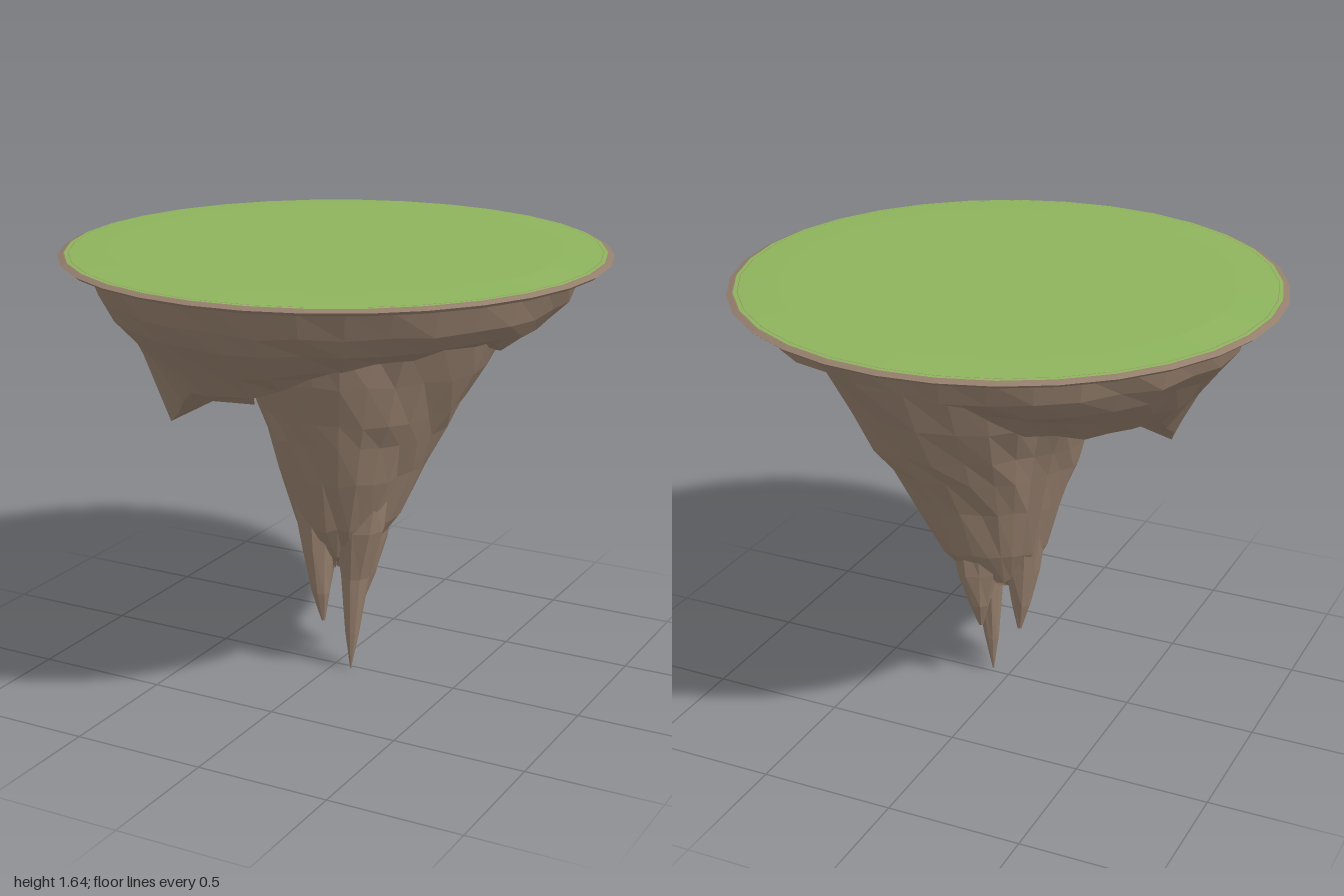
import * as THREE from 'three';

const rock = new THREE.MeshStandardMaterial({ color: 0x947e6c });
rock.name = 'rock brown';
const grass = new THREE.MeshStandardMaterial({ color: 0x8db35c });
grass.name = 'grass green';

// Repeatable random offset in the range -amount to amount
let seed = 11;
function jitter(amount) {
  seed = (seed * 16807) % 2147483647;
  return (seed / 2147483647 * 2 - 1) * amount;
}

// Faceted skin over closed rings of [x, y, z] points, listed from the top down
function loft(name, rings) {
  const n = rings[0].length;
  const index = [];
  for (let i = 0; i < rings.length - 1; i++) {
    for (let j = 0; j < n; j++) {
      const a = i * n + j, b = i * n + (j + 1) % n;
      index.push(a, b, a + n, b, b + n, a + n);
    }
  }
  const indexed = new THREE.BufferGeometry();
  indexed.setAttribute('position', new THREE.Float32BufferAttribute(rings.flat(2), 3));
  indexed.setIndex(index);
  const geometry = indexed.toNonIndexed();
  geometry.computeVertexNormals();
  const mesh = new THREE.Mesh(geometry, rock);
  mesh.name = name;
  return mesh;
}

function ring(n, pointAt) {
  return Array.from({ length: n }, (_, j) => pointAt(j / n * Math.PI * 2));
}

// Value at an angle, blended between evenly spaced values around the circle
function around(angle, values) {
  const n = values.length;
  const t = angle / (Math.PI * 2) * n + 1e-6;
  const i = Math.floor(t);
  return THREE.MathUtils.lerp(values[i % n], values[(i + 1) % n], t - i);
}

// Rim: a thin bevelled edge of 32 sides
function makeRim() {
  const profile = [[0.96, 1.636], [0.98, 1.633], [1, 1.625], [0.985, 1.613], [0.9, 1.593], [0.86, 1.592]];
  return loft('rim', profile.map(([r, y]) =>
    ring(32, a => [r * Math.cos(a), y, r * Math.sin(a)])));
}

// Underside: each radius with its heights every 30 degrees, from +x towards +z
const LOBES = [
  [0.86, [1.50, 1.50, 1.50, 1.50, 1.50, 1.49, 1.50, 1.50, 1.50, 1.51, 1.51, 1.50]],
  [0.80, [1.43, 1.44, 1.42, 1.42, 1.42, 1.40, 1.42, 1.43, 1.43, 1.49, 1.50, 1.42]],
  [0.70, [1.40, 1.40, 1.36, 1.31, 1.30, 1.25, 1.29, 1.33, 1.37, 1.47, 1.50, 1.33]],
  [0.60, [1.36, 1.37, 1.34, 1.21, 1.17, 0.98, 1.20, 1.25, 1.27, 1.45, 1.48, 1.24]],
  [0.46, [1.33, 1.34, 1.32, 1.20, 1.13, 1.06, 1.20, 1.23, 1.25, 1.40, 1.45, 1.28]],
  [0.30, [1.30, 1.30, 1.30, 1.22, 1.14, 1.05, 1.18, 1.20, 1.24, 1.32, 1.40, 1.30]],
];

function makeUnderside() {
  const rings = [ring(36, a => [0.9 * Math.cos(a), 1.6, 0.9 * Math.sin(a)])];
  LOBES.forEach(([radius, heights]) => {
    rings.push(ring(36, a => {
      const r = radius + jitter(0.012);
      return [r * Math.cos(a), around(a, heights) + jitter(0.01), r * Math.sin(a)];
    }));
  });
  return loft('underside', rings);
}

// Trunk: each height with its reach every 45 degrees, from +x towards +z
const TRUNK = [
  [1.52, [0.68, 0.46, 0.42, 0.42, 0.45, 0.48, 0.60, 0.78]],
  [1.36, [0.56, 0.42, 0.38, 0.38, 0.40, 0.40, 0.51, 0.68]],
  [1.20, [0.46, 0.38, 0.34, 0.33, 0.34, 0.33, 0.45, 0.59]],
  [1.05, [0.38, 0.33, 0.28, 0.28, 0.29, 0.27, 0.37, 0.51]],
  [0.95, [0.33, 0.30, 0.25, 0.25, 0.26, 0.24, 0.32, 0.45]],
  [0.80, [0.26, 0.25, 0.21, 0.21, 0.21, 0.20, 0.24, 0.36]],
  [0.60, [0.18, 0.17, 0.15, 0.15, 0.15, 0.15, 0.18, 0.26]],
  [0.47, [0.10, 0.09, 0.09, 0.09, 0.09, 0.09, 0.11, 0.15]],
  [0.40, [0.01, 0.01, 0.01, 0.01, 0.01, 0.01, 0.01, 0.01]],
];

function makeTrunk() {
  return loft('trunk', TRUNK.map(([y, reach]) => ring(24, a => {
    const r = around(a, reach) * (1 + jitter(0.03));
    return [r * Math.cos(a), y + jitter(0.01), r * Math.sin(a)];
  })));
}

// Spike: sections of height, centre x, centre z and radius
function makeSpike(name, sections) {
  return loft(name, sections.map(([y, x, z, r]) => ring(9, a => {
    const k = r * (1 + jitter(0.08));
    return [x + k * Math.cos(a), y, z + k * Math.sin(a)];
  })));
}

export function createModel() {
  seed = 11;
  const island = new THREE.Group();
  island.name = 'floatingIsland';

  // Grass top, sloping very slightly towards its edge
  const top = new THREE.Mesh(new THREE.CylinderGeometry(0.82, 0.976, 0.008, 32), grass);
  top.name = 'grassTop';
  top.position.y = 1.639;
  island.add(top);

  island.add(makeRim(), makeUnderside(), makeTrunk());

  // Four hanging points whose upper ends stay inside the trunk
  island.add(
    makeSpike('longSpike', [
      [0.85, 0.11, 0.0, 0.1], [0.72, 0.115, 0.0, 0.11], [0.58, 0.105, 0.01, 0.095],
      [0.38, 0.085, 0.01, 0.055], [0.15, 0.078, 0.015, 0.028], [0, 0.075, 0.02, 0.002]]),
    makeSpike('frontSpike', [
      [0.85, -0.03, 0.05, 0.1], [0.7, -0.04, 0.065, 0.1], [0.5, -0.035, 0.075, 0.066],
      [0.32, -0.025, 0.075, 0.036], [0.2, -0.02, 0.065, 0.008]]),
    makeSpike('sideSpike', [
      [0.85, -0.06, -0.03, 0.1], [0.7, -0.07, -0.03, 0.1], [0.5, -0.07, -0.03, 0.065],
      [0.35, -0.065, -0.03, 0.036], [0.24, -0.06, -0.03, 0.008]]),
    makeSpike('backSpike', [
      [0.85, 0.08, -0.1, 0.1], [0.7, 0.09, -0.11, 0.1], [0.5, 0.08, -0.105, 0.075],
      [0.36, 0.075, -0.105, 0.042], [0.26, 0.07, -0.1, 0.008]]));

  return island;
}
